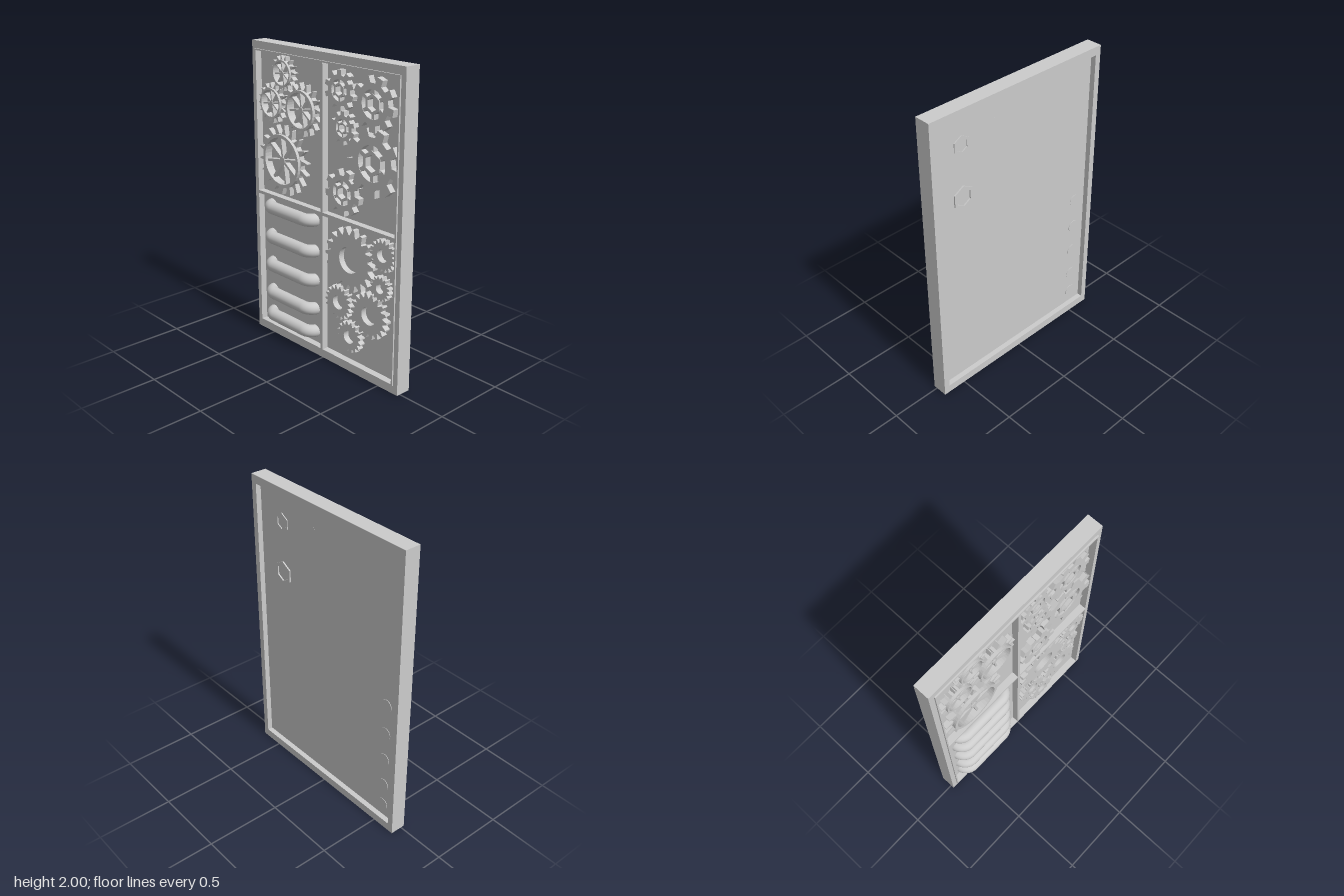
import * as THREE from 'three';

const grey = new THREE.MeshStandardMaterial({ color: 0xcccccc, side: THREE.DoubleSide });
const W = 0.665, PANEL_FRONT = -0.01, PANEL_BACK = -0.045;

function mesh(name, geometry) {
  const m = new THREE.Mesh(geometry, grey);
  m.name = name;
  return m;
}

function polygon(radius, sides, phase = 0, Type = THREE.Path) {
  const pts = [];
  for (let i = 0; i < sides; i++) {
    const a = phase + (i / sides) * Math.PI * 2;
    pts.push(new THREE.Vector2(Math.cos(a) * radius, Math.sin(a) * radius));
  }
  return new Type(pts);
}

function rectPoints(x0, y0, x1, y1) {
  return [[x0, y0], [x1, y0], [x1, y1], [x0, y1]].map(p => new THREE.Vector2(...p));
}

// Flat plate cut from a shape, spanning z0..z1
function plate(name, shape, z0, z1) {
  const g = new THREE.ExtrudeGeometry(shape, { depth: z1 - z0, bevelEnabled: false, curveSegments: 32 });
  return mesh(name, g.translate(0, 0, z0));
}

function rectFrame(name, [x0, y0, x1, y1], w, z0, z1) {
  const s = new THREE.Shape(rectPoints(x0, y0, x1, y1));
  s.holes.push(new THREE.Path(rectPoints(x0 + w, y0 + w, x1 - w, y1 - w)));
  return plate(name, s, z0, z1);
}

// Toothed outline: the profile lists [fraction of tooth pitch, fraction of radius]
function toothed(radius, teeth, profile, holeRadius, phase) {
  const pts = [];
  for (let i = 0; i < teeth; i++) {
    for (const [t, r] of profile) {
      const a = phase + ((i + t) / teeth) * Math.PI * 2;
      pts.push(new THREE.Vector2(Math.cos(a) * r * radius, Math.sin(a) * r * radius));
    }
  }
  const s = new THREE.Shape(pts);
  s.holes.push(polygon(holeRadius, 40));
  return s;
}

function ring(name, outer, inner, sides, phase, z0, z1) {
  const s = polygon(outer, sides, phase, THREE.Shape);
  s.holes.push(polygon(inner, sides, phase));
  return plate(name, s, z0, z1);
}

function addSpokes(group, count, r0, r1, width, z0, z1, phase = 0) {
  for (let i = 0; i < count; i++) {
    const g = new THREE.BoxGeometry(r1 - r0, width, z1 - z0);
    g.translate((r0 + r1) / 2, 0, (z0 + z1) / 2).rotateZ(phase + (i / count) * Math.PI * 2);
    group.add(mesh('spoke', g));
  }
}

const SPIKE = [[-0.3, 0.76], [-0.04, 1], [0.04, 1], [0.3, 0.76]];
const BLOCK = [[-0.28, 0.76], [-0.2, 1], [0.2, 1], [0.28, 0.76]];
const ROUND = [[-0.42, 0.79], [-0.22, 0.91], [-0.12, 1], [0.12, 1], [0.22, 0.91], [0.42, 0.79]];

// Wheel with pointed teeth, a thin raised rim and eight spokes
function spikedGear(r, teeth) {
  const g = new THREE.Group();
  g.name = 'spikedGear';
  const top = 0.028 + Math.min(r, 0.17) * 0.1;
  g.add(plate('spikedTeeth', toothed(r, teeth, SPIKE, r * 0.67, 0.1), PANEL_FRONT, 0.025));
  g.add(ring('rim', r * 0.75, r * 0.66, 40, 0, PANEL_FRONT, top));
  addSpokes(g, 8, r * 0.05, r * 0.68, r * 0.07, PANEL_FRONT, 0.025, 0.15);
  g.add(plate('hub', polygon(r * 0.11, 16, 0, THREE.Shape), PANEL_FRONT, 0.03));
  return g;
}

// Wheel with square teeth, six spokes and a hollow six-sided hub
function blockGear(r, teeth, hubBack) {
  const g = new THREE.Group();
  g.name = 'blockGear';
  g.add(plate('squareTeeth', toothed(r, teeth, BLOCK, r * 0.53, -Math.PI / 2), PANEL_FRONT, 0.03));
  addSpokes(g, 6, r * 0.32, r * 0.56, r * 0.12, PANEL_FRONT, 0.027, Math.PI / 6);
  g.add(ring('hexHub', r * 0.38, r * 0.26, 6, Math.PI / 6, PANEL_FRONT, 0.032));
  if (hubBack < PANEL_BACK) {
    g.add(ring('hexHubBack', r * 0.38, r * 0.27, 6, Math.PI / 6, hubBack, PANEL_BACK));
  }
  return g;
}

// Solid wheel with a round bore
function boredGear(r, teeth, bore) {
  const g = new THREE.Group();
  g.name = 'boredGear';
  g.add(plate('roundedTeeth', toothed(r, teeth, ROUND, bore, Math.PI / 2 + Math.PI / teeth), PANEL_FRONT, 0.03));
  return g;
}

// Handle-shaped pipe: both ends bend back through the panel
class PipePath extends THREE.CurvePath {}
function pipe() {
  const g = new THREE.Group();
  g.name = 'pipe';
  const x0 = -0.536, x1 = -0.108, z = 0.037, bend = 0.065, radius = 0.042;
  const v = (x, zz) => new THREE.Vector3(x, 0, zz);
  const k = bend * 0.45;
  const path = new PipePath();
  path.add(new THREE.LineCurve3(v(x0, -0.048), v(x0, z - bend)));
  path.add(new THREE.CubicBezierCurve3(v(x0, z - bend), v(x0, z - k), v(x0 + k, z), v(x0 + bend, z)));
  path.add(new THREE.LineCurve3(v(x0 + bend, z), v(x1 - bend, z)));
  path.add(new THREE.CubicBezierCurve3(v(x1 - bend, z), v(x1 - k, z), v(x1, z - k), v(x1, z - bend)));
  path.add(new THREE.LineCurve3(v(x1, z - bend), v(x1, -0.044)));
  g.add(mesh('pipeBody', new THREE.TubeGeometry(path, 72, radius, 24, false)));
  const cap = new THREE.CircleGeometry(radius, 24).rotateY(Math.PI);
  g.add(mesh('pipeEnd', cap.translate(x0, 0, -0.048)));
  return g;
}

export function createModel() {
  const model = new THREE.Group();
  model.name = 'mechanicalWallPanel';
  const place = (part, x, y) => {
    part.position.set(x, y, 0);
    model.add(part);
  };

  // Outer frame and recessed backing panel
  const outer = new THREE.Shape(rectPoints(-W, 0, W, 2));
  outer.holes.push(new THREE.Path(rectPoints(-0.625, 0.055, 0.625, 1.945)));
  model.add(plate('outerFrame', outer, -0.08, 0.025));
  const panel = new THREE.Shape(rectPoints(-0.63, 0.05, 0.63, 1.95));
  model.add(plate('backPanel', panel, PANEL_BACK, PANEL_FRONT));

  // Raised trim around each of the four bays
  for (const [x0, x1] of [[-0.63, -0.002], [-0.002, 0.63]]) {
    for (const [y0, y1] of [[0.055, 1.0], [1.0, 1.95]]) {
      model.add(rectFrame('bayTrim', [x0, y0, x1, y1], 0.01, PANEL_FRONT, 0.035));
    }
  }

  // Upper right bay: spiked wheels
  for (const [x, y, r, n] of [[-0.37, 1.825, 0.112, 16], [-0.48, 1.62, 0.13, 16],
    [-0.195, 1.62, 0.168, 16], [-0.38, 1.26, 0.232, 18]]) {
    place(spikedGear(r, n), x, y);
  }

  // Upper left bay: square-toothed wheels
  for (const [x, y, r, n, back] of [[0.145, 1.795, 0.122, 10, -0.0452], [0.42, 1.755, 0.163, 9, -0.051],
    [0.175, 1.575, 0.102, 10, 0], [0.42, 1.41, 0.208, 9, -0.054], [0.175, 1.175, 0.147, 9, 0]]) {
    place(blockGear(r, n, back), x, y);
  }

  // Lower left bay: bored wheels
  for (const [x, y, r, n, bore] of [[0.24, 0.76, 0.208, 18, 0.085], [0.52, 0.87, 0.103, 18, 0.041],
    [0.505, 0.655, 0.08, 16, 0.031], [0.145, 0.445, 0.115, 18, 0.046],
    [0.415, 0.445, 0.152, 18, 0.06], [0.245, 0.24, 0.106, 16, 0.044]]) {
    place(boredGear(r, n, bore), x, y);
  }

  // Lower right bay: row of pipes
  for (const y of [0.92, 0.71, 0.508, 0.306, 0.143]) place(pipe(), 0, y);

  return model;
}
